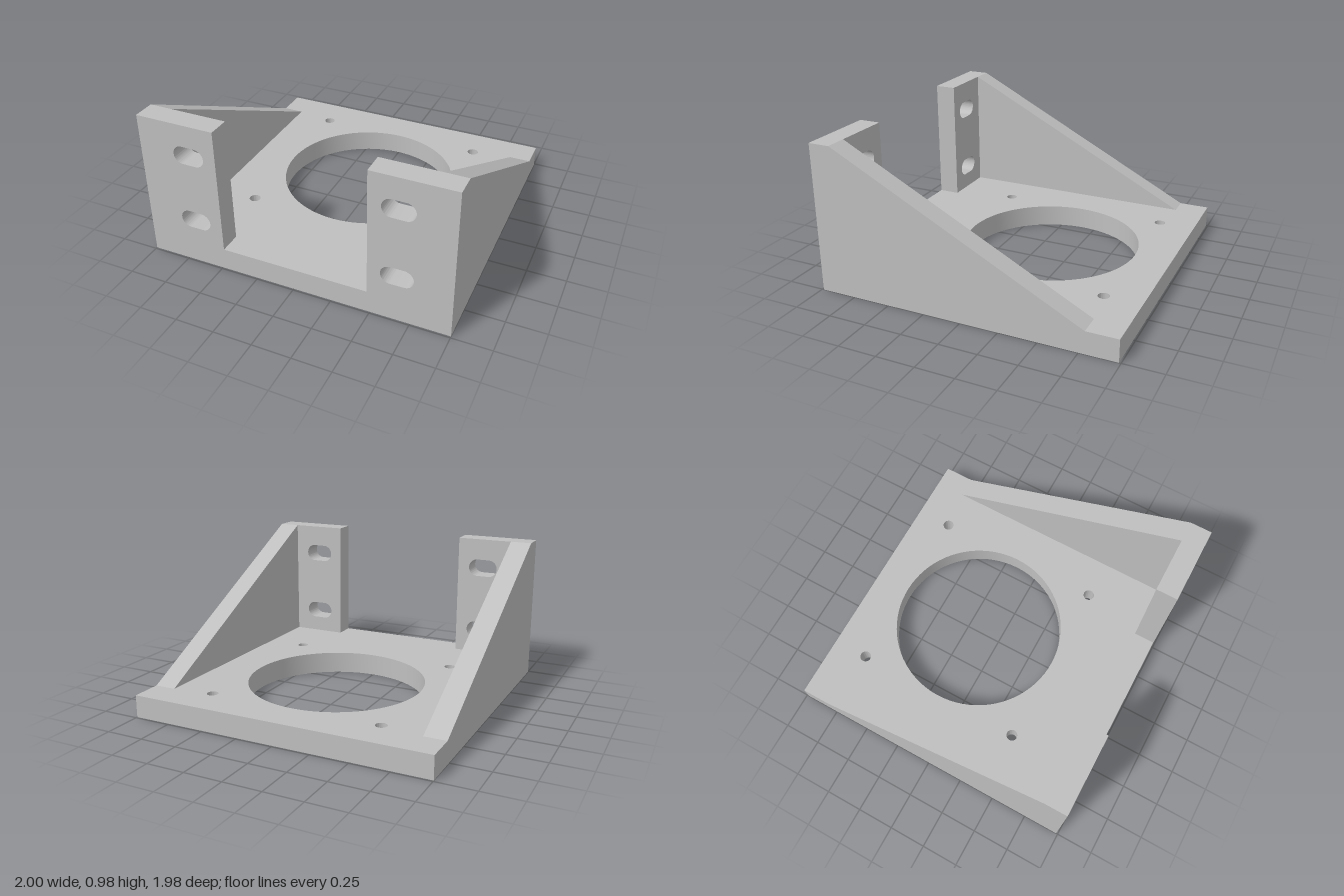
import * as THREE from 'three';
import { toCreasedNormals } from 'three/addons/utils/BufferGeometryUtils.js';

const BASE = 0.147, TOP = 0.982, HALF_Z = 0.988;
const WALL = 0.143, FLANGE_Z = 0.845, FLANGE_X = 0.48;

function polygon(points) {
  return new THREE.Shape(points.map(([x, y]) => new THREE.Vector2(x, y)));
}

function circleHole(x, y, r) {
  return new THREE.Path().absarc(x, y, r, 0, Math.PI * 2, true);
}

// Horizontal slot with rounded ends
function slotHole(x, y, halfLength, r) {
  const d = halfLength - r;
  const path = new THREE.Path();
  path.absarc(x + d, y, r, -Math.PI / 2, Math.PI / 2, false);
  path.absarc(x - d, y, r, Math.PI / 2, Math.PI * 1.5, false);
  path.closePath();
  return path;
}

function extrude(shape, depth) {
  const geometry = new THREE.ExtrudeGeometry(shape, { depth, bevelEnabled: false, curveSegments: 40 });
  return toCreasedNormals(geometry, 0.5);
}

export function createModel() {
  const group = new THREE.Group();
  group.name = 'mountingBracket';
  const grey = new THREE.MeshStandardMaterial({ color: 0xbfbfbf });
  grey.name = 'grey';

  const add = (name, geometry) => {
    const mesh = new THREE.Mesh(geometry, grey);
    mesh.name = name;
    group.add(mesh);
  };

  // Base plate with the large opening and four screw holes
  const plate = polygon([[-1, -HALF_Z], [1, -HALF_Z], [1, HALF_Z], [-1, HALF_Z]]);
  const openingZ = -0.16, r = 0.585;
  plate.holes.push(circleHole(0, -openingZ, r));
  for (const sx of [-1, 1]) {
    for (const sz of [-1, 1]) plate.holes.push(circleHole(sx * r, -openingZ + sz * r, 0.037));
  }
  add('basePlate', extrude(plate, BASE).rotateX(-Math.PI / 2));

  for (const [side, s] of [['left', 1], ['right', -1]]) {
    // Upright front flange with two slots
    const x0 = Math.min(s * FLANGE_X, s), x1 = Math.max(s * FLANGE_X, s);
    const flange = polygon([[x0, BASE], [x1, BASE], [x1, TOP], [x0, TOP]]);
    for (const y of [0.315, 0.775]) flange.holes.push(slotHole(s * 0.663, y, 0.102, 0.06));
    add(side + 'Flange', extrude(flange, HALF_Z - FLANGE_Z).translate(0, 0, FLANGE_Z));

    // Sloping side gusset
    const gusset = polygon([[-0.785, BASE], [FLANGE_Z, BASE], [FLANGE_Z, TOP]]);
    add(side + 'Gusset', extrude(gusset, WALL).rotateY(-Math.PI / 2)
      .translate(s > 0 ? 1 : -1 + WALL, 0, 0));
  }
  return group;
}
